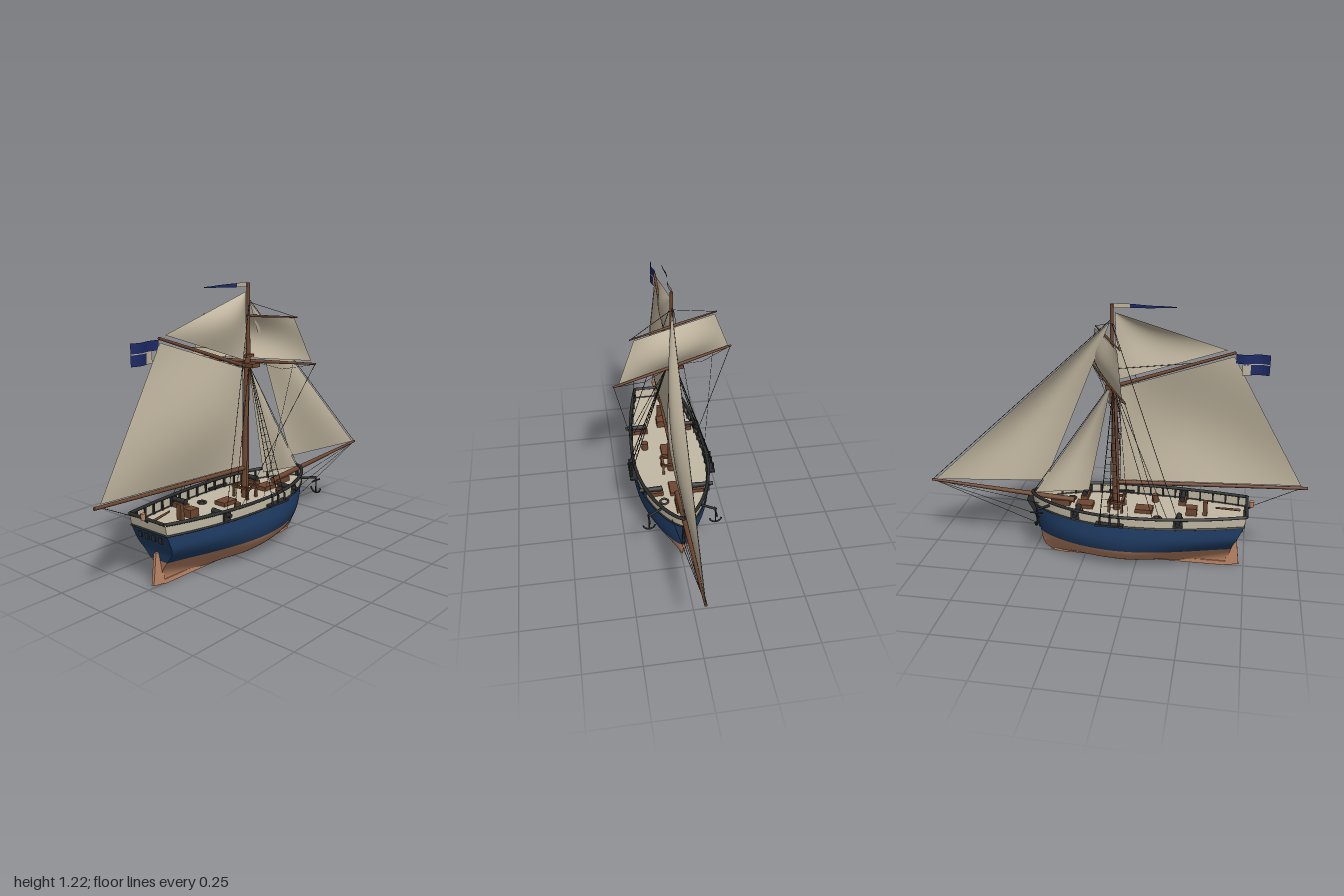
import * as THREE from 'three';

const mat = (name, color, side = THREE.FrontSide) => {
  const m = new THREE.MeshStandardMaterial({ color, side });
  m.name = name;
  return m;
};
const V = (x, y, z = 0) => new THREE.Vector3(x, y, z);

// Piecewise-linear lookup
function table(rows, v) {
  for (let i = 1; i < rows.length; i++) {
    const [a, fa] = rows[i - 1], [b, fb] = rows[i];
    if (v <= b) return fa + (fb - fa) * (v - a) / (b - a);
  }
  return rows[rows.length - 1][1];
}
const STERN = [[0, -0.42], [0.112, -0.44], [0.15, -0.447], [0.25, -0.492], [0.3, -0.5]];
const BOW = [[0, 0.38], [0.012, 0.42], [0.03, 0.445], [0.06, 0.46], [0.112, 0.468], [0.25, 0.497], [0.3, 0.502]];

// Point on the hull: s runs stern to bow, v is the height before sheer
function hull(s, v, side = 1) {
  const x0 = table(STERN, v), x1 = table(BOW, v);
  const aft = Math.max(0, (0.55 - s) / 0.55), fore = Math.max(0, (s - 0.55) / 0.45);
  const plan = 0.176 * Math.pow(Math.max(0, 1 - fore * fore), 0.7) - 0.071 * aft * aft;
  const round = v < 0.2 ? Math.pow(1 - (1 - v / 0.2) ** 2, 0.6) : 1;
  const w = plan * Math.pow(round, 1 + 5 * aft * aft + fore * fore);
  const lift = 0.012 * (2 * s - 1) ** 2 * Math.max(0, (v - 0.112) / 0.188);
  return V(x0 + (x1 - x0) * s, v + lift, side * w);
}
const hullAt = (x, v, side) => hull((x - table(STERN, v)) / (table(BOW, v) - table(STERN, v)), v, side);

// Grid surface from a point rule
function surface(fn, nu, nv) {
  const pos = [], idx = [];
  for (let j = 0; j <= nv; j++) for (let i = 0; i <= nu; i++) pos.push(...fn(i / nu, j / nv).toArray());
  for (let j = 0; j < nv; j++) for (let i = 0; i < nu; i++) {
    const a = j * (nu + 1) + i, b = a + nu + 1;
    idx.push(a, a + 1, b + 1, a, b + 1, b);
  }
  const g = new THREE.BufferGeometry();
  g.setAttribute('position', new THREE.Float32BufferAttribute(pos, 3));
  g.setIndex(idx);
  g.computeVertexNormals();
  return g;
}

export function createModel() {
  const root = new THREE.Group();
  root.name = 'sailingCutter';
  const D = THREE.DoubleSide;
  const sailcloth = mat('sailcloth', 0xbfb49e, D), cream = mat('cream paint', 0xc2b9a4, D);
  const blue = mat('hull blue', 0x213f68, D), copper = mat('copper', 0xc08868, D);
  const dark = mat('dark iron', 0x2c2d2e), wood = mat('spar wood', 0x6e4630);
  const rope = mat('rope', 0x3a3733), navy = mat('flag navy', 0x1d2a66, D);

  const add = (name, geo, material, p) => {
    const m = new THREE.Mesh(geo, material);
    m.name = name;
    if (p) m.position.copy(p);
    root.add(m);
    return m;
  };
  const box = (name, w, h, d, material, x, y, z) => add(name, new THREE.BoxGeometry(w, h, d), material, V(x, y, z));
  // Tapered round bar between two points
  const bar = (name, a, b, r0, r1, material, sides = 10) => {
    const d = b.clone().sub(a);
    const m = add(name, new THREE.CylinderGeometry(r1, r0, d.length(), sides), material, a.clone().add(b).multiplyScalar(0.5));
    m.quaternion.setFromUnitVectors(V(0, 1, 0), d.normalize());
    return m;
  };
  const line = (name, a, b, r = 0.0013) => bar(name, a, b, r, r, rope, 4);
  const plate = (name, pts, t, material) => {
    const shape = new THREE.Shape(pts.map(([x, y]) => new THREE.Vector2(x, y)));
    add(name, new THREE.ExtrudeGeometry(shape, { depth: t, bevelEnabled: false }), material, V(0, 0, -t / 2));
  };

  // Hull sides and transom in paint bands
  const ease = u => Math.sin(u * Math.PI / 2);
  for (const [name, v0, v1, n, m] of [['copperBottom', 0, 0.112, 14, copper], ['blueTopsides', 0.112, 0.248, 10, blue], ['bulwark', 0.248, 0.295, 2, cream]]) {
    for (const side of [1, -1]) {
      add(name, surface((u, w) => hull(ease(side > 0 ? u : 1 - u), v0 + (v1 - v0) * w, side), 56, n), m);
    }
    add(name + 'Transom', surface((u, w) => {
      const p = hull(0, v0 + (v1 - v0) * w);
      p.z *= 2 * u - 1;
      return p;
    }, 8, n), m);
  }
  add('deck', surface((u, w) => {
    const p = hull(ease(u), 0.25);
    p.z *= 1 - 2 * w;
    return p;
  }, 48, 4), cream);

  // Rail and wale run round both sides
  for (const [name, v, r] of [['rail', 0.297, 0.008], ['wale', 0.249, 0.005]]) {
    for (const side of [1, -1]) {
      const pts = Array.from({ length: 25 }, (_, i) => hull(ease(i / 24), v, side));
      add(name, new THREE.TubeGeometry(new THREE.CatmullRomCurve3(pts), 60, r, 6), dark);
    }
    bar(name + 'Stern', hull(0, v, -1), hull(0, v, 1), r, r, dark, 6);
  }
  for (const side of [1, -1]) for (let i = 0; i < 15; i++) {
    const p = hullAt(-0.46 + i * 0.06, 0.272, side);
    box('stanchion', 0.008, 0.045, 0.008, dark, p.x, p.y, p.z - side * 0.006);
  }
  for (const z of [-0.06, -0.02, 0.02, 0.06]) box('sternWindow', 0.006, 0.025, 0.02, dark, -0.484, 0.227, z);

  // Rudder and stem
  plate('rudder', [[-0.478, 0.012], [-0.415, 0.004], [-0.43, 0.15], [-0.462, 0.15]], 0.014, copper);
  plate('stemKnee', [[0.462, 0.125], [0.474, 0.125], [0.495, 0.2], [0.53, 0.262], [0.524, 0.285], [0.49, 0.305], [0.485, 0.24]], 0.014, dark);
  plate('keel', [[-0.42, 0.006], [-0.41, 0], [0.37, 0], [0.42, 0.01], [0.38, 0.02], [-0.42, 0.02]], 0.012, copper);

  // Spars
  bar('lowerMast', V(0.1, 0.24), V(0.114, 0.9), 0.017, 0.012, wood, 14);
  bar('topmast', V(0.122, 0.77), V(0.123, 1.217), 0.011, 0.007, wood);
  bar('boom', V(0.09, 0.388), V(-0.76, 0.422), 0.01, 0.007, wood);
  bar('gaff', V(0.1, 0.855), V(-0.41, 1.028), 0.009, 0.006, wood);
  bar('bowsprit', V(0.3, 0.28), V(1, 0.332), 0.014, 0.006, wood);
  box('mastCap', 0.05, 0.012, 0.03, wood, 0.118, 0.9, 0);
  box('crosstrees', 0.05, 0.018, 0.1, wood, 0.118, 0.86, 0);
  const yard = (t, y, out = 0.022) => V(0.122 + 0.407 * t + 0.913 * out, y, 0.913 * t - 0.407 * out);
  for (const [name, y, h, r] of [['lowerYard', 0.872, 0.3, 0.009], ['upperYard', 1.072, 0.215, 0.006]]) {
    for (const s of [1, -1]) bar(name, yard(0, y), yard(s * h, y), r, r * 0.5, wood);
  }

  // Sails: four corners and a belly
  const sail = (name, a, b, c, d, belly) => add(name, surface((u, w) => {
    const p = a.clone().lerp(b, u).lerp(d.clone().lerp(c, u), w);
    return p.addScaledVector(belly, Math.sin(Math.PI * u) * Math.sin(Math.PI * w));
  }, 18, 18), sailcloth);
  sail('mainsail', V(-0.73, 0.432), V(0.082, 0.4), V(0.085, 0.848), V(-0.405, 1.01), V(0, 0, 0.045));
  sail('gaffTopsail', V(-0.375, 1.037), V(0.105, 0.878), V(0.108, 1.18), V(0.108, 1.18), V(0, 0, 0.035));
  sail('jib', V(0.435, 0.37), V(0.98, 0.335), V(0.13, 1.14), V(0.13, 1.14), V(0, 0, 0.05));
  sail('staysail', V(0.23, 0.335), V(0.49, 0.305), V(0.125, 0.86), V(0.125, 0.86), V(0, 0, 0.035));
  sail('squareTopsail', yard(-0.278, 0.884, 0.03), yard(0.278, 0.884, 0.03), yard(0.2, 1.068, 0.03), yard(-0.2, 1.068, 0.03), V(0.035, 0, -0.015));

  // Flag and pennant
  const cloth = (name, x0, x1, y0, y1, m) => add(name, surface((u, w) => {
    const x = x0 + (x1 - x0) * u;
    return V(x, y0 + (y1 - y0) * w, 0.008 * Math.sin((x + 0.41) * 45));
  }, 8, 1), m);
  cloth('flagTop', -0.555, -0.412, 0.981, 1.022, navy);
  cloth('flagStripe', -0.555, -0.44, 0.977, 0.981, sailcloth);
  cloth('flagLower', -0.555, -0.475, 0.932, 0.977, navy);
  cloth('flagPatch', -0.475, -0.44, 0.932, 0.977, sailcloth);
  const pennant = (x0, x1, m) => add('pennant', surface((u, w) => {
    const x = x0 + (x1 - x0) * u, h = 0.004 + 0.018 * (x + 0.155) / 0.27;
    return V(x, 1.21 + h * (w - 0.5), 0.004 * Math.sin(x * 40));
  }, 8, 1), m);
  pennant(-0.155, 0.045, navy);
  pennant(0.045, 0.115, sailcloth);

  // Standing and running rigging
  line('forestay', V(0.125, 1.15), V(0.995, 0.335));
  line('innerStay', V(0.12, 0.87), V(0.5, 0.305));
  line('bobstay', V(0.99, 0.33), V(0.478, 0.14));
  line('bobstay', V(0.99, 0.33), V(0.492, 0.19));
  line('mainsheet', V(-0.72, 0.415), V(-0.5, 0.305));
  line('peakHalyard', V(0.115, 0.93), V(-0.25, 0.975));
  for (const s of [1, -1]) {
    const feet = [0.06, 0.1, 0.145].map(x => V(x, 0.285, s * 0.195));
    const head = V(0.113, 0.86, s * 0.016);
    feet.forEach(f => {
      line('shroud', f, head, 0.002);
      bar('deadeye', V(f.x, 0.262, f.z), V(f.x, 0.3, f.z), 0.005, 0.005, dark, 6);
    });
    for (let k = 1; k < 17; k++) line('ratline', feet[0].clone().lerp(head, k / 19), feet[2].clone().lerp(head, k / 19), 0.001);
    box('channel', 0.125, 0.009, 0.035, dark, 0.103, 0.262, s * 0.185);
    for (const x of [-0.2, -0.155, -0.09]) line('backstay', V(0.118, x < -0.18 ? 1.13 : 0.87, s * 0.01), hullAt(x, 0.295, s));
    line('bowspritShroud', V(0.99, 0.33), hullAt(0.46, 0.265, s));
    line('brace', yard(s * 0.298, 0.872), hullAt(-0.12, 0.295, s));
    line('clewline', yard(s * 0.2, 0.872), hullAt(0.02, 0.295, s), 0.001);
    line('yardLift', yard(s * 0.212, 1.072), V(0.123, 1.135));
    line('footrope', yard(s * 0.295, 0.87), yard(s * 0.15, 0.842), 0.001);
    line('footrope', yard(s * 0.15, 0.842), yard(s * 0.03, 0.868), 0.001);

    // Guns in their ports
    for (const x of [-0.2, 0.265]) {
      const p = hullAt(x, 0.272, s);
      box('gunPort', 0.042, 0.036, 0.01, dark, x, p.y, p.z);
      box('gunCarriage', 0.035, 0.02, 0.07, wood, x, 0.262, p.z - s * 0.05);
      bar('gunBarrel', V(x, 0.283, p.z - s * 0.08), V(x, 0.283, p.z + s * 0.024), 0.013, 0.009, dark);
    }
    // Cathead and hanging anchor
    bar('cathead', V(0.4, 0.285, s * 0.09), V(0.445, 0.292, s * 0.152), 0.006, 0.006, dark, 6);
    bar('anchorShank', V(0.445, 0.292, s * 0.15), V(0.445, 0.215, s * 0.15), 0.003, 0.003, dark, 6);
    bar('anchorStock', V(0.415, 0.275, s * 0.15), V(0.475, 0.275, s * 0.15), 0.004, 0.004, dark, 6);
    add('anchorArms', new THREE.TorusGeometry(0.027, 0.004, 6, 14, Math.PI), dark, V(0.445, 0.242, s * 0.15)).rotation.set(Math.PI, Math.PI / 2, 0);
    // Mast bitts
    for (const x of [0.07, 0.13]) box('bittPost', 0.01, 0.065, 0.01, wood, x, 0.28, s * 0.04);
    box('bittRail', 0.075, 0.01, 0.012, wood, 0.1, 0.3, s * 0.04);
  }
  for (const x of [0.07, 0.13]) box('bittCrossRail', 0.012, 0.01, 0.1, wood, x, 0.3, 0);

  // Deck fittings
  box('foreHatch', 0.08, 0.022, 0.06, wood, 0.25, 0.26, 0);
  box('windlass', 0.09, 0.03, 0.035, wood, 0.365, 0.265, 0);
  box('mainHatch', 0.08, 0.02, 0.06, wood, -0.03, 0.258, 0);
  box('companionway', 0.05, 0.04, 0.045, wood, -0.25, 0.268, 0);
  box('binnacle', 0.02, 0.07, 0.025, wood, -0.312, 0.288, 0);
  bar('tiller', V(-0.47, 0.29), V(-0.36, 0.3, -0.015), 0.006, 0.004, wood, 6);
  bar('barrel', V(-0.07, 0.25, 0.105), V(-0.07, 0.288, 0.105), 0.016, 0.016, wood);
  bar('sternLantern', V(-0.52, 0.31), V(-0.52, 0.338), 0.009, 0.011, copper, 8);
  bar('lanternBracket', V(-0.495, 0.295), V(-0.52, 0.312), 0.004, 0.004, dark, 6);
  for (const [x, z] of [[-0.1, -0.08], [0.325, 0.065]]) {
    add('ropeCoil', new THREE.TorusGeometry(0.018, 0.005, 6, 16), rope, V(x, 0.257, z)).rotation.x = Math.PI / 2;
  }
  return root;
}
